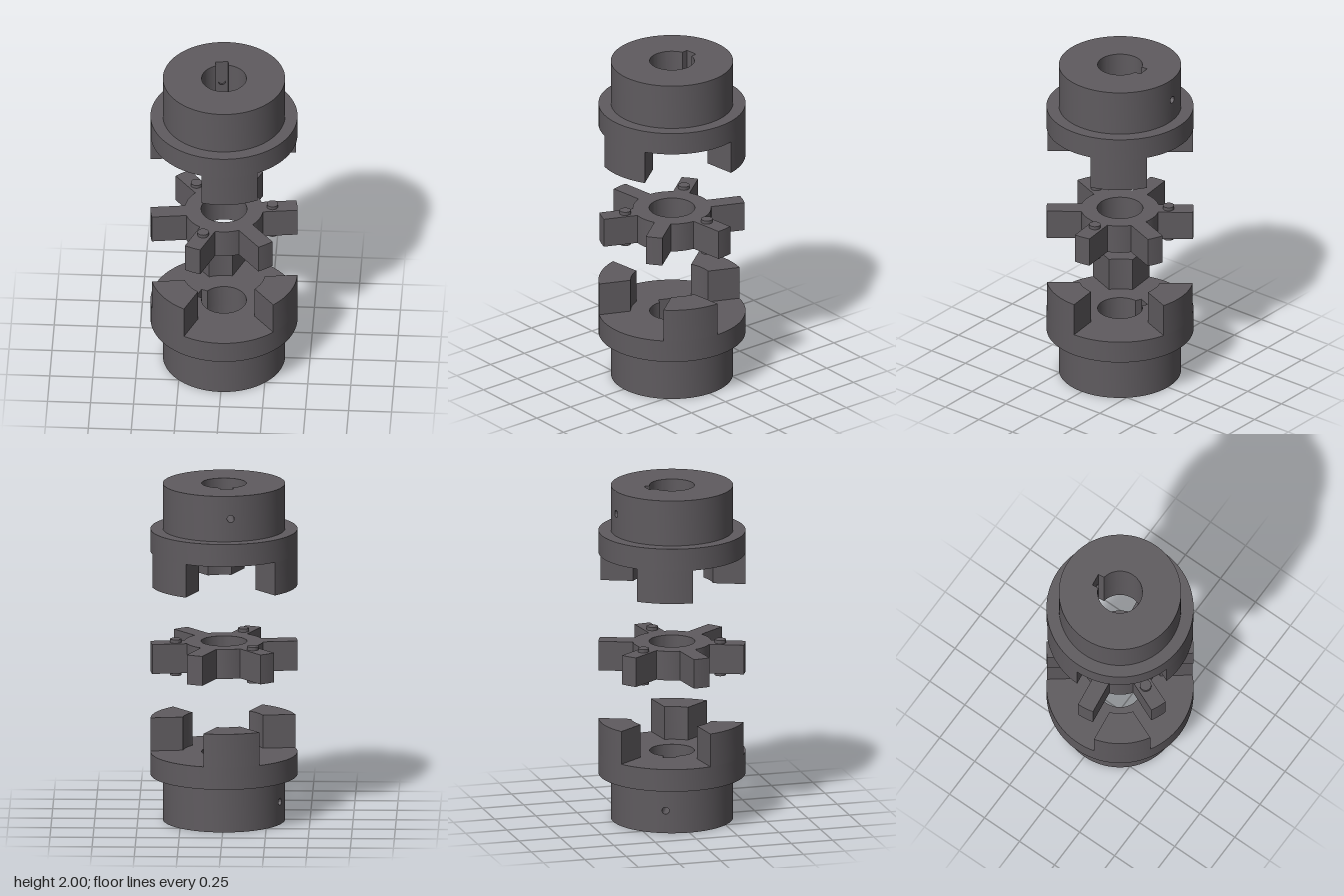
import * as THREE from 'three';
import { mergeGeometries, toCreasedNormals } from 'three/addons/utils/BufferGeometryUtils.js';

const RAD = Math.PI / 180;
const HUB_R = 0.355, FLANGE_R = 0.427, BORE_R = 0.13;
const HUB_H = 0.27, FLANGE_TOP = 0.403, JAW_TOP = 0.6;
const WINDOW = 7.5; // half-angle of the wall patch that holds the screw hole

// Points along an arc, angles in degrees
function arc(r, from, to, n) {
  return Array.from({ length: n + 1 }, (_, i) => {
    const a = (from + (to - from) * i / n) * RAD;
    return new THREE.Vector2(r * Math.cos(a), r * Math.sin(a));
  });
}
const ring = (r) => arc(r, 0, 360, 96).slice(0, 96);

// Upright plate between two heights: x stays x, outline y becomes z
function plate(outline, y0, y1, hole) {
  const shape = new THREE.Shape(outline);
  if (hole) shape.holes.push(new THREE.Path(hole));
  const geo = new THREE.ExtrudeGeometry(shape, { depth: y1 - y0, bevelEnabled: false });
  return geo.rotateX(Math.PI / 2).translate(0, y1, 0);
}

// Round bore with a square keyway towards +x
function keyedBore() {
  const half = 0.037, a = Math.asin(half / BORE_R) / RAD;
  return [...arc(BORE_R, a, 360 - a, 72), new THREE.Vector2(0.162, -half), new THREE.Vector2(0.162, half)];
}

function fromPositions(positions) {
  const geo = new THREE.BufferGeometry();
  geo.setAttribute('position', new THREE.Float32BufferAttribute(positions, 3));
  return geo;
}

// Hub sleeve with the outer wall opened where the screw hole goes
function sleeveWall() {
  const p = plate(ring(HUB_R), 0, HUB_H, keyedBore()).getAttribute('position');
  const kept = [];
  for (let i = 0; i < p.count; i += 3) {
    const tri = [0, 1, 2].map((k) => new THREE.Vector3().fromBufferAttribute(p, i + k));
    const upright = Math.max(...tri.map((v) => v.y)) - Math.min(...tri.map((v) => v.y)) > 0.01;
    const inWindow = tri.every((v) => Math.hypot(v.x, v.z) > 0.3 && Math.abs(Math.atan2(v.z, v.x)) < (WINDOW + 0.1) * RAD);
    if (!(upright && inWindow)) tri.forEach((v) => kept.push(v.x, v.y, v.z));
  }
  return fromPositions(kept);
}

// Curved patch from the window frame to the round hole, then the hole's inner wall
function screwHole() {
  const N = 32, rows = 5, holeR = 0.021, out = [];
  const point = (i, j) => {
    const t = i / N * Math.PI * 2, c = Math.cos(t), s = Math.sin(t);
    const k = 1 / Math.max(Math.abs(c), Math.abs(s)), mix = Math.min(j / (rows - 1), 1);
    const u = THREE.MathUtils.lerp(c * k * WINDOW * RAD * HUB_R, c * holeR, mix);
    const v = THREE.MathUtils.lerp(s * k * HUB_H / 2, s * holeR, mix);
    const a = u / HUB_R;
    return [j === rows ? 0.15 : HUB_R * Math.cos(a), HUB_H / 2 + v, HUB_R * Math.sin(a)];
  };
  for (let j = 0; j < rows; j++) {
    for (let i = 0; i < N; i++) {
      const a = point(i, j), b = point(i + 1, j), c = point(i, j + 1), d = point(i + 1, j + 1);
      out.push(...a, ...c, ...b, ...b, ...c, ...d);
    }
  }
  return fromPositions(out);
}

export function createModel() {
  const model = new THREE.Group();
  const metal = new THREE.MeshStandardMaterial({ color: 0x5f5b5f });
  metal.name = 'dark grey metal';

  const add = (parent, name, geo) => {
    const mesh = new THREE.Mesh(toCreasedNormals(geo, 0.5), metal);
    mesh.name = name;
    parent.add(mesh);
    return mesh;
  };

  // Coupling half: sleeve, flange and three jaws, keyway towards +x
  function couplingHalf(name) {
    const half = new THREE.Group();
    half.name = name;
    add(half, 'sleeve', mergeGeometries([sleeveWall(), screwHole()]));
    add(half, 'flange', plate(ring(FLANGE_R), HUB_H, FLANGE_TOP, keyedBore()));
    const innerR = 0.24;
    const innerA = 30 - Math.asin(FLANGE_R * Math.sin(WINDOW * RAD) / innerR) / RAD;
    const outline = [...arc(FLANGE_R, -22.5, 22.5, 12), ...arc(innerR, innerA, -innerA, 8)];
    for (const angle of [60, 180, 300]) {
      add(half, 'jaw', plate(outline, FLANGE_TOP, JAW_TOP)).rotation.y = angle * RAD;
    }
    model.add(half);
    return half;
  }

  const lower = couplingHalf('lowerHub');
  lower.rotation.y = -202.5 * RAD;

  const upper = couplingHalf('upperHub');
  upper.rotation.set(Math.PI, 262.5 * RAD, 0);
  upper.position.y = 2;

  // Six-legged spider between the halves
  const spider = new THREE.Group();
  spider.name = 'spider';
  const legHalf = 0.049, coreR = 0.228;
  const tipA = Math.asin(legHalf / FLANGE_R) / RAD, rootA = Math.asin(legHalf / coreR) / RAD;
  const star = [];
  for (let k = 0; k < 6; k++) {
    const a = k * 60;
    star.push(...arc(FLANGE_R, a - tipA, a + tipA, 4), ...arc(coreR, a + rootA, a + 60 - rootA, 10));
  }
  add(spider, 'spiderBody', plate(star, 0.885, 1.06, ring(0.133)));

  // Spacer pins through every second leg
  for (let k = 0; k < 3; k++) {
    const a = k * 120 * RAD;
    const pin = new THREE.CylinderGeometry(0.033, 0.033, 0.215, 32);
    add(spider, 'spacerPin', pin).position.set(0.282 * Math.cos(a), 0.9725, 0.282 * Math.sin(a));
  }
  spider.rotation.y = 7.5 * RAD;
  model.add(spider);

  return model;
}
